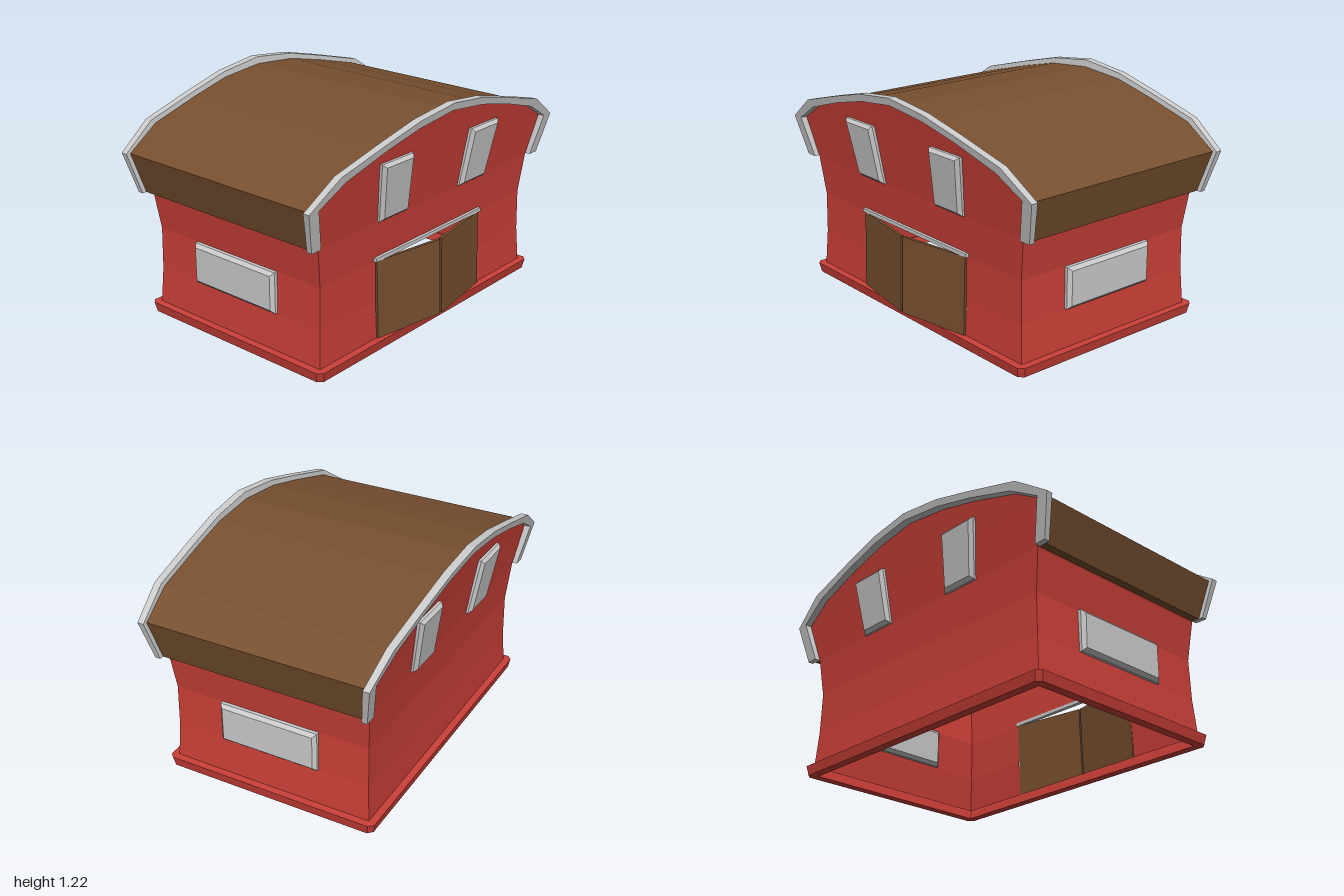
import * as THREE from 'three';

const material = (color) => new THREE.MeshStandardMaterial({ color, flatShading: true, side: THREE.DoubleSide });
const red = material(0xcc4038);
const brown = material(0x785030);
const grey = material(0xcccccc);

// The gables lean outwards: x of the gable plane and of the trim's outer face
const gableX = (y) => 0.655 - (1.215 - y) * 0.16;
const trimX = (y) => 0.70 - (1.215 - y) * 0.19;

// Wall rows: height, half width in x, half length in z
const EAVE = 4;
const ROWS = [
  [0.04, 0.571, 0.858], [0.25, 0.56, 0.843], [0.475, 0.558, 0.838], [0.69, 0.575, 0.868],
  [0.915, gableX(0.915), 0.934], [1.01, gableX(1.01), 0.77], [1.09, gableX(1.09), 0.5],
  [1.145, gableX(1.145), 0.26], [1.175, gableX(1.175), 0],
];
const DOOR = { half: 0.43, top: 0.475, bottom: 0.055 };

// Half profiles (z, y) from eave tip to ridge
const INNER = [[0.875, 0.695], [0.934, 0.915], [0.77, 1.01], [0.5, 1.09], [0.26, 1.145], [0, 1.175]];
const ROOF = [[0.915, 0.695], [0.975, 0.912], [0.785, 1.025], [0.5, 1.1], [0.26, 1.155], [0, 1.177]];
const TRIM = [[0.94, 0.695], [1.0, 0.915], [0.81, 1.045], [0.5, 1.127], [0.26, 1.185], [0, 1.215]];

const shapeOf = (points) => new THREE.Shape(points.map(([u, v]) => new THREE.Vector2(u, v)));
const mirrored = (half) => [...half, ...half.slice(0, -1).reverse().map(([z, y]) => [-z, y])];

function addMesh(parent, name, geometry, mat) {
  const mesh = new THREE.Mesh(geometry, mat);
  mesh.name = name;
  parent.add(mesh);
  return mesh;
}

// Move every vertex by a rule
function warp(geometry, rule) {
  const p = geometry.attributes.position;
  const v = new THREE.Vector3();
  for (let i = 0; i < p.count; i++) {
    rule(v.fromBufferAttribute(p, i));
    p.setXYZ(i, v.x, v.y, v.z);
  }
  geometry.computeVertexNormals();
  return geometry;
}

// Arched band between two profiles, spanning from x = from(y) to x = to(y)
function archBand(outer, inner, from, to) {
  const shape = shapeOf([...mirrored(outer), ...mirrored(inner).reverse()]);
  const geometry = new THREE.ExtrudeGeometry(shape, { depth: 1, bevelEnabled: false });
  geometry.rotateY(Math.PI / 2);
  return warp(geometry, (v) => { v.x = THREE.MathUtils.lerp(from(v.y), to(v.y), v.x); });
}

// Quads given as [a, b, c, d] corners
function quadGeometry(quads) {
  const positions = quads.flatMap(([a, b, c, d]) => [a, b, c, a, c, d].flat());
  const geometry = new THREE.BufferGeometry();
  geometry.setAttribute('position', new THREE.Float32BufferAttribute(positions, 3));
  geometry.computeVertexNormals();
  return geometry;
}

// Long wall, side = +1 front or -1 back
function longWall(side) {
  const quads = [];
  for (let i = 0; i < EAVE; i++) {
    const [y0, x0, z0] = ROWS[i], [y1, x1, z1] = ROWS[i + 1];
    quads.push([[-side * x0, y0, side * z0], [side * x0, y0, side * z0],
      [side * x1, y1, side * z1], [-side * x1, y1, side * z1]]);
  }
  return quadGeometry(quads);
}

// Gable wall, side = +1 or -1 in x, optionally with the doorway left open
function gableWall(side, doorway) {
  const quads = [];
  for (let i = 0; i < ROWS.length - 1; i++) {
    const [y0, x0, z0] = ROWS[i], [y1, x1, z1] = ROWS[i + 1];
    const strip = (a0, b0, a1, b1) => quads.push([[side * x0, y0, side * a0], [side * x0, y0, side * b0],
      [side * x1, y1, side * b1], [side * x1, y1, side * a1]]);
    if (doorway && y1 <= DOOR.top) {
      strip(z0, DOOR.half, z1, DOOR.half);
      strip(-DOOR.half, -z0, -DOOR.half, -z1);
    } else strip(z0, -z0, z1, -z1);
  }
  return quadGeometry(quads);
}

// Bevelled window panel, centred on its own depth
function windowPanel(points) {
  const geometry = new THREE.ExtrudeGeometry(shapeOf(points), {
    depth: 0.03, bevelThickness: 0.018, bevelSize: 0.018, bevelOffset: -0.018, bevelSegments: 1,
  });
  return geometry.translate(0, 0, -0.015);
}

// Base ring with cut corners, slightly narrower at the ground
function plinth() {
  const X = 0.61, Z = 0.897, c = 0.025;
  const shape = shapeOf([[X, Z - c], [X - c, Z], [c - X, Z], [-X, Z - c], [-X, c - Z], [c - X, -Z], [X - c, -Z], [X, c - Z]]);
  const x = 0.562, z = 0.848;
  shape.holes.push(new THREE.Path([[x, z], [x, -z], [-x, -z], [-x, z]].map(([a, b]) => new THREE.Vector2(a, b))));
  const geometry = new THREE.ExtrudeGeometry(shape, { depth: 0.053, bevelEnabled: false });
  geometry.rotateX(-Math.PI / 2);
  return warp(geometry, (v) => {
    if (v.y < 0.01) { v.x -= Math.sign(v.x) * 0.01; v.z -= Math.sign(v.z) * 0.01; }
  });
}

export function createModel() {
  const barn = new THREE.Group();
  barn.name = 'barn';

  addMesh(barn, 'plinth', plinth(), red);
  addMesh(barn, 'roof', archBand(ROOF, INNER, (y) => -gableX(y), gableX), brown);

  for (const side of [1, -1]) {
    const end = side > 0 ? 'left' : 'right';
    const face = side > 0 ? 'front' : 'back';

    // Walls
    addMesh(barn, `${face}Wall`, longWall(side), red);
    addMesh(barn, `${end}Gable`, gableWall(side, side > 0), red);

    // Gable trim
    const trim = addMesh(barn, `${end}RoofTrim`, archBand(TRIM, INNER, gableX, trimX), grey);
    trim.rotation.y = side > 0 ? 0 : Math.PI;

    // Wide window in the long wall
    const wide = windowPanel([[-0.28, 0.255], [0.28, 0.255], [0.28, 0.475], [-0.28, 0.475]]);
    addMesh(barn, `${face}Window`, wide, grey).position.z = side * 0.842;

    // Pair of slanted loft windows following the lean of the gable
    for (const s of [1, -1]) {
      const loft = windowPanel([[s * 0.22, 0.69], [s * 0.437, 0.69], [s * 0.48, 1.008], [s * 0.242, 1.008]]);
      loft.rotateY(Math.PI / 2);
      warp(loft, (v) => { v.x += gableX(v.y); });
      addMesh(barn, `${end}LoftWindow`, loft, grey).rotation.y = side > 0 ? 0 : Math.PI;
    }
  }

  // Double doors, ajar and hinged at their outer edges
  const height = DOOR.top - DOOR.bottom;
  for (const s of [1, -1]) {
    const leaf = new THREE.BoxGeometry(0.016, height, 0.43).translate(0, 0, -s * 0.215);
    leaf.rotateY(-s * 0.165);
    warp(leaf, (v) => { v.x -= v.y * 0.03; });
    addMesh(barn, 'doorLeaf', leaf, brown).position.set(0.568, DOOR.bottom + height / 2, s * 0.43);
  }
  const lintel = new THREE.BoxGeometry(0.022, 0.02, 0.89);
  addMesh(barn, 'doorLintel', lintel, grey).position.set(0.565, 0.485, 0);

  return barn;
}
